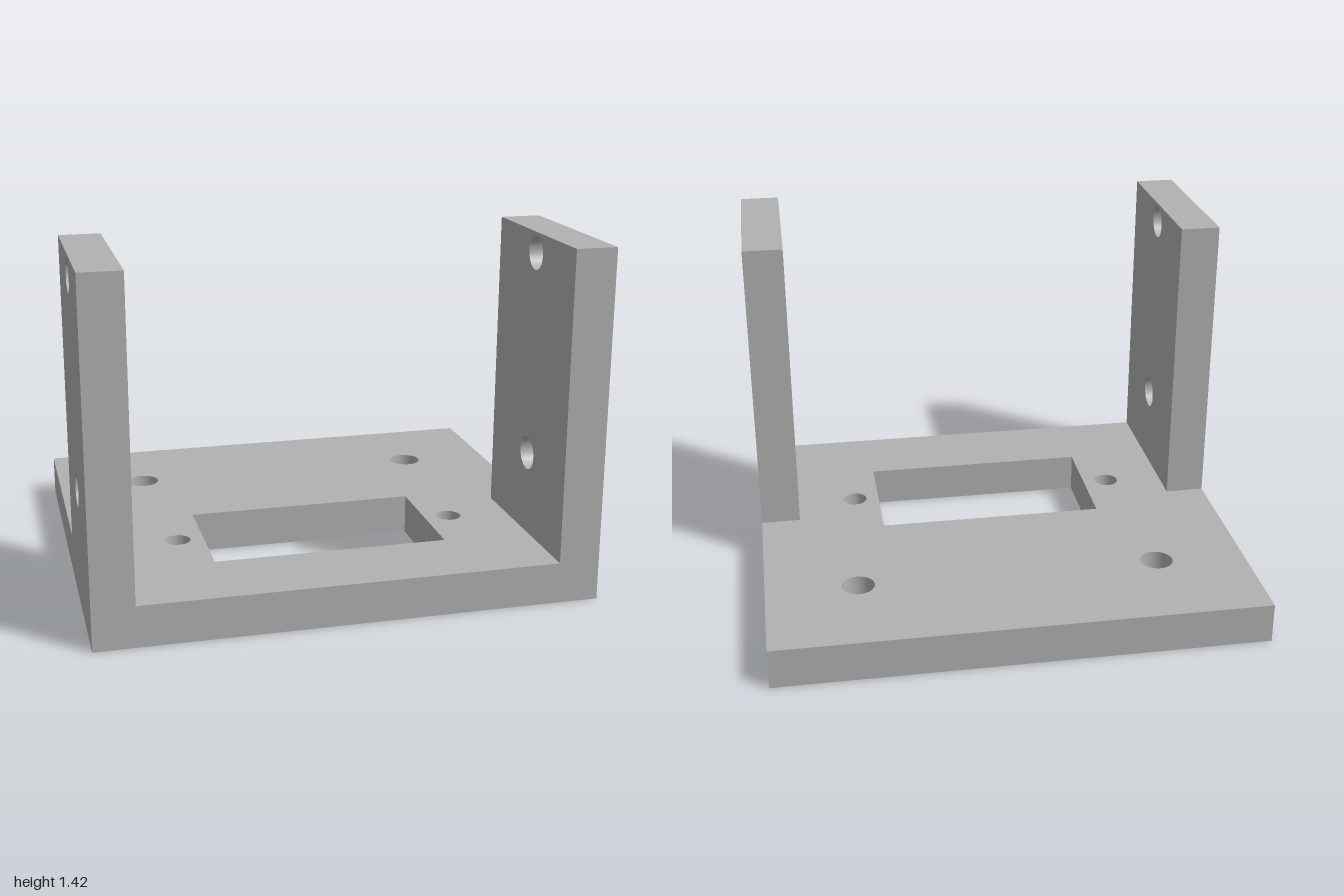
import * as THREE from 'three';
import { toCreasedNormals } from 'three/addons/utils/BufferGeometryUtils.js';

const THICK = 0.167, WALL = 0.165, HALF_Z = 0.875, HEIGHT = 1.417;

// Closed rectangle outline, usable as a shape or as a hole
function rect(path, x0, y0, x1, y1) {
  path.moveTo(x0, y0);
  path.lineTo(x1, y0);
  path.lineTo(x1, y1);
  path.lineTo(x0, y1);
  path.closePath();
  return path;
}

function addHole(shape, x, y, r) {
  shape.holes.push(new THREE.Path().absarc(x, y, r, 0, Math.PI * 2, true));
}

function extrude(shape, depth) {
  return new THREE.ExtrudeGeometry(shape, { depth, bevelEnabled: false, curveSegments: 20 });
}

export function createModel() {
  const model = new THREE.Group();
  model.name = 'mountingBracket';
  const grey = new THREE.MeshStandardMaterial({ color: 0xb2b2b2 });
  grey.name = 'grey';

  const add = (name, geometry) => {
    const mesh = new THREE.Mesh(toCreasedNormals(geometry, 0.6), grey);
    mesh.name = name;
    model.add(mesh);
  };

  // Base plate, drawn in x and z, with a window and four screw holes
  const base = rect(new THREE.Shape(), -1, -HALF_Z, 1, HALF_Z);
  base.holes.push(rect(new THREE.Path(), -0.479, 0.015, 0.475, 0.538));
  for (const side of [-1, 1]) {
    addHole(base, side * 0.625 - 0.002, -0.46, 0.068);
    addHole(base, side * 0.583 - 0.002, 0.28, 0.052);
  }
  add('basePlate', extrude(base, THICK).rotateX(Math.PI / 2).translate(0, THICK, 0));

  // Upright side walls, drawn in z and y, with two screw holes each
  const wall = rect(new THREE.Shape(), 0.125, THICK, HALF_Z, HEIGHT);
  addHole(wall, 0.5, 0.502, 0.068);
  addHole(wall, 0.5, 1.334, 0.068);
  for (const [name, outerX] of [['leftWall', 1], ['rightWall', WALL - 1]]) {
    add(name, extrude(wall, WALL).rotateY(-Math.PI / 2).translate(outerX, 0, 0));
  }
  return model;
}
